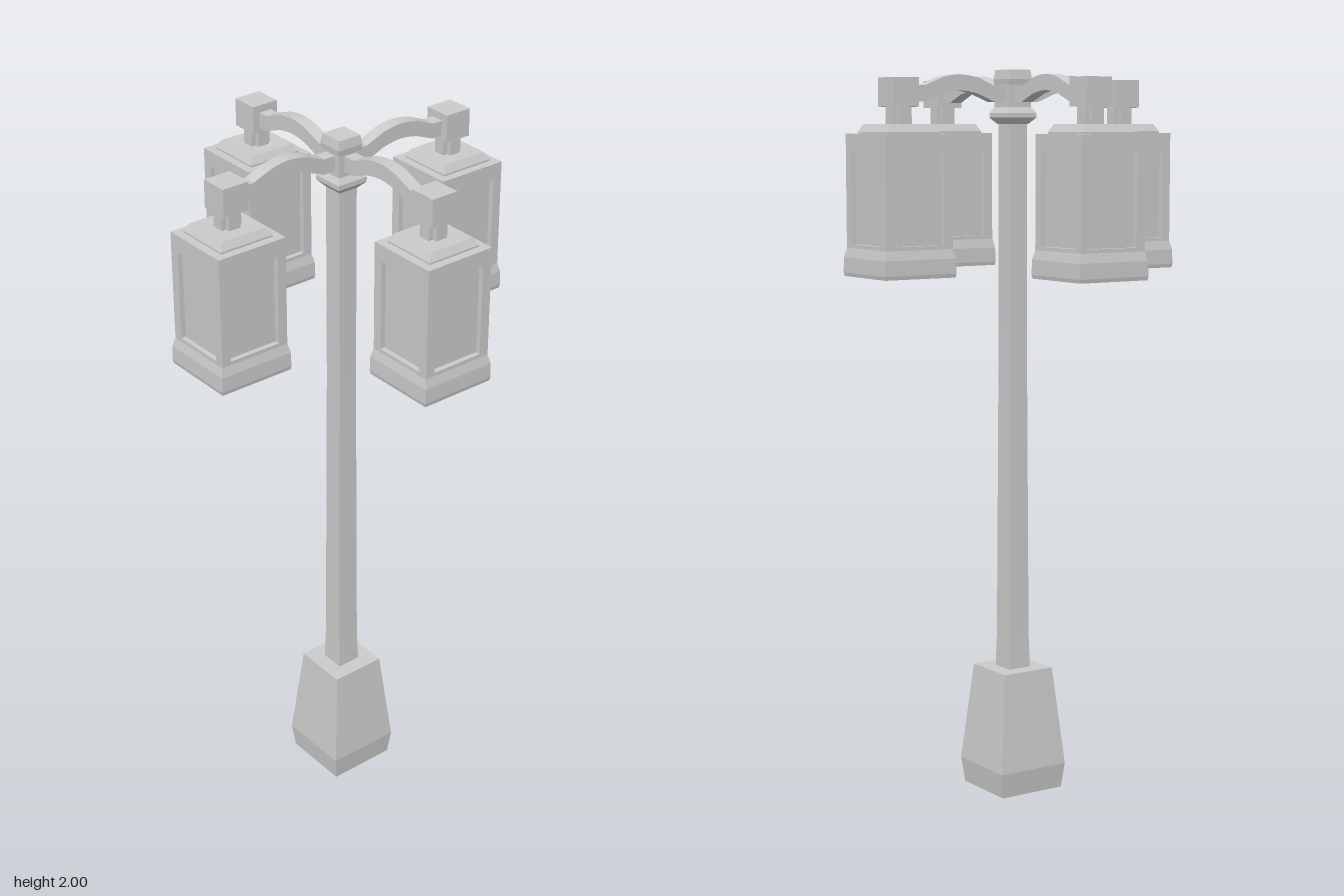
import * as THREE from 'three';

const material = new THREE.MeshStandardMaterial({ color: 0xcccccc, flatShading: true });

function part(name, geometry) {
  const mesh = new THREE.Mesh(geometry, material);
  mesh.name = name;
  return mesh;
}

// Square solid from [halfWidth, y] steps, bottom to top, closed at both ends
function squareStack(name, steps) {
  const points = steps.map(([h, y]) => new THREE.Vector2(h * Math.SQRT2, y));
  points.unshift(new THREE.Vector2(0, steps[0][1]));
  points.push(new THREE.Vector2(0, steps[steps.length - 1][1]));
  return part(name, new THREE.LatheGeometry(points, 4, Math.PI / 4));
}

function box(name, w, h, d, y) {
  return part(name, new THREE.BoxGeometry(w, h, d).translate(0, y, 0));
}

// Rectangular window frame standing proud of the lantern core
function windowFrame(halfWidth) {
  const rect = (Type, h, y0, y1) => new Type([
    new THREE.Vector2(-h, y0), new THREE.Vector2(h, y0),
    new THREE.Vector2(h, y1), new THREE.Vector2(-h, y1),
  ]);
  const shape = rect(THREE.Shape, halfWidth, 1.52, 1.83);
  shape.holes.push(rect(THREE.Path, 0.075, 1.54, 1.785));
  const geometry = new THREE.ExtrudeGeometry(shape, { depth: 0.014, bevelEnabled: false });
  return part('windowFrame', geometry.translate(0, 0, 0.088));
}

function lantern() {
  const group = new THREE.Group();
  group.name = 'lantern';
  group.add(
    squareStack('lanternSkirt', [[0.107, 1.455], [0.109, 1.465], [0.108, 1.505], [0.102, 1.53]]),
    squareStack('lanternPanels', [[0.088, 1.5], [0.088, 1.83]]),
    squareStack('lanternLid', [[0.079, 1.825], [0.079, 1.835], [0.068, 1.855]]),
    // Cross-shaped neck
    box('neck', 0.06, 0.06, 0.034, 1.88),
    box('neck', 0.034, 0.06, 0.06, 1.88),
    box('knob', 0.078, 0.076, 0.078, 1.938),
  );
  for (let i = 0; i < 4; i++) {
    const frame = windowFrame(i % 2 ? 0.088 : 0.102);
    frame.rotation.y = i * Math.PI / 2;
    group.add(frame);
  }
  return group;
}

// Arched arm running out along +x
function arm() {
  const line = [[0.02, 1.935], [0.07, 1.935], [0.095, 1.945], [0.125, 1.957], [0.155, 1.963],
    [0.18, 1.965], [0.205, 1.963], [0.235, 1.957], [0.265, 1.945], [0.29, 1.935], [0.33, 1.935]];
  const edge = (dy) => line.map(([x, y]) => new THREE.Vector2(x, y + dy));
  const shape = new THREE.Shape([...edge(-0.021), ...edge(0.021).reverse()]);
  const geometry = new THREE.ExtrudeGeometry(shape, { depth: 0.037, bevelEnabled: false });
  return part('arm', geometry.translate(0, 0, -0.0185));
}

export function createModel() {
  const model = new THREE.Group();
  model.name = 'streetLamp';

  model.add(
    squareStack('base', [[0.098, 0], [0.106, 0.07], [0.079, 0.345]]),
    squareStack('pole', [[0.035, 0.34], [0.032, 0.44], [0.028, 1.3], [0.028, 1.9]]),
    squareStack('hub', [[0.03, 1.855], [0.046, 1.872], [0.046, 1.885], [0.036, 1.9],
      [0.036, 1.96], [0.038, 1.975], [0.034, 2]]),
  );

  // Four identical arms with hanging lanterns
  for (let i = 0; i < 4; i++) {
    const branch = new THREE.Group();
    branch.name = 'branch';
    const lamp = lantern();
    lamp.position.x = 0.36;
    branch.add(arm(), lamp);
    branch.rotation.y = i * Math.PI / 2;
    model.add(branch);
  }
  return model;
}
